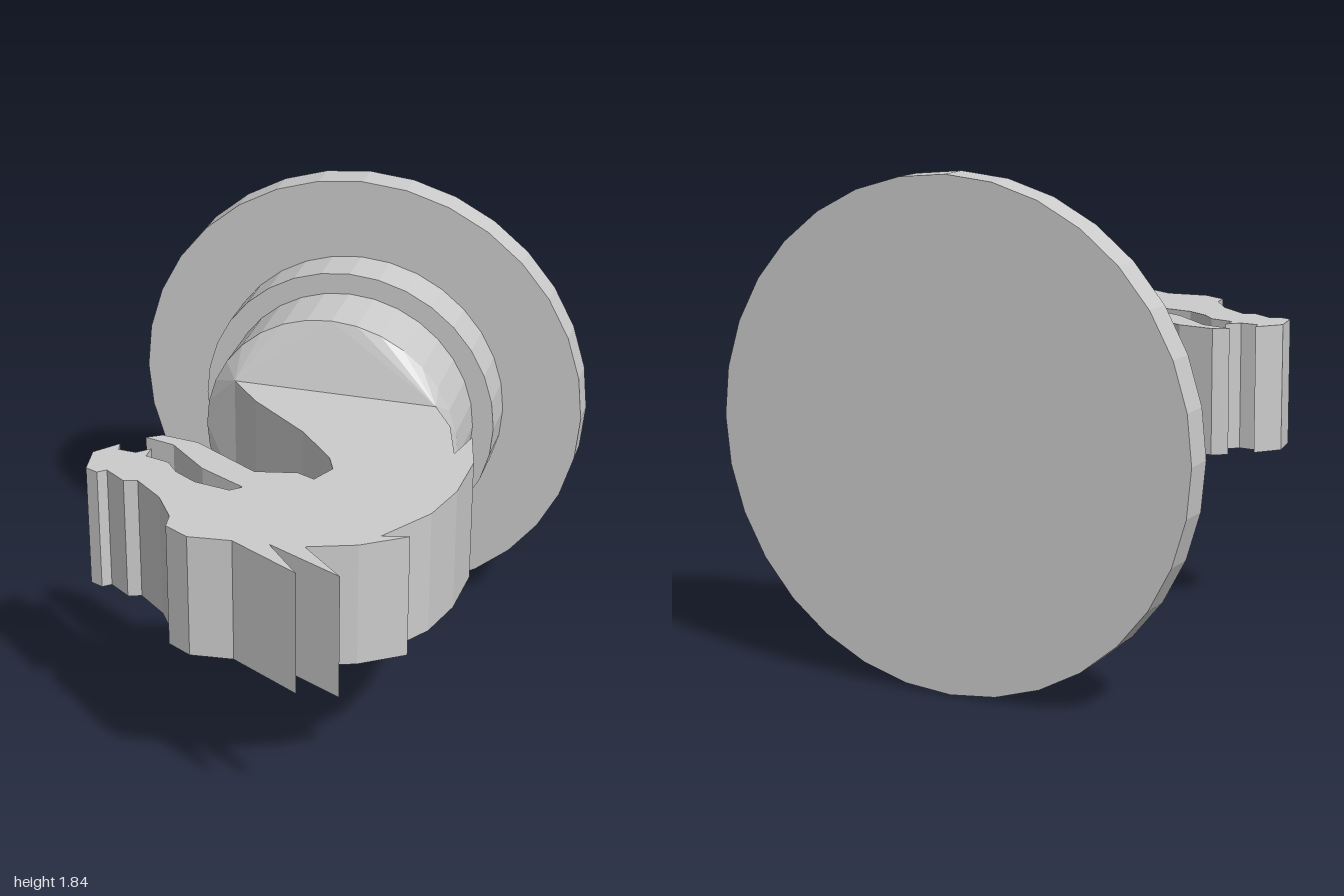
import * as THREE from 'three';
import { ConvexGeometry } from 'three/addons/geometries/ConvexGeometry.js';

const material = new THREE.MeshStandardMaterial({ color: 0xcccccc, flatShading: true });
const CENTRE_Y = 0.92, SIDES = 32;
const HOOK_BOTTOM = 0.677, HOOK_TOP = 1.165;

// Dragon outline seen from above, as [x, z]
const OUTLINE = [
  // inner curve of the neck
  [-0.37, -0.355], [-0.24, -0.21], [0.01, -0.01], [0.16, 0.16], [0.195, 0.24], [0.15, 0.335], [0.08, 0.305],
  // lower jaw
  [-0.075, 0.34], [-0.345, 0.18], [-0.49, 0.16], [-0.545, 0.195], [-0.425, 0.225], [-0.265, 0.37], [-0.08, 0.465],
  // upper jaw, teeth and snout
  [-0.12, 0.5], [-0.26, 0.475], [-0.35, 0.42], [-0.4, 0.36], [-0.495, 0.335], [-0.495, 0.275], [-0.54, 0.32],
  [-0.61, 0.315], [-0.62, 0.27], [-0.695, 0.36], [-0.675, 0.485], [-0.625, 0.505], [-0.595, 0.48],
  // brow and forehead
  [-0.51, 0.54], [-0.46, 0.525], [-0.345, 0.62], [-0.265, 0.74], [-0.255, 0.81], [-0.16, 0.862], [0, 0.845],
  // horns and spines down the back of the neck
  [0.275, 0.995], [0.13, 0.832], [0.425, 0.975], [0.255, 0.815], [0.43, 0.752], [0.587, 0.645], [0.488, 0.67],
  [0.62, 0.465], [0.67, 0.28], [0.68, 0.05], [0.63, -0.145], [0.595, 0], [0.53, -0.21], [0.44, -0.355],
];

function addMesh(group, name, geometry) {
  const mesh = new THREE.Mesh(geometry, material);
  mesh.name = name;
  group.add(mesh);
}

// Disc facing the front, between two depths
function disc(radius, back, front) {
  return new THREE.CylinderGeometry(radius, radius, front - back, SIDES)
    .rotateX(Math.PI / 2)
    .translate(0, CENTRE_Y, (front + back) / 2);
}

export function createModel() {
  const group = new THREE.Group();
  group.name = 'dragonHook';

  // Stepped round mount
  addMesh(group, 'backPlate', disc(0.92, -1, -0.88));
  addMesh(group, 'middleStep', disc(0.6, -0.88, -0.7));
  addMesh(group, 'frontStep', disc(0.515, -0.7, -0.435));

  // Transition from the round mount to the rectangular root of the neck
  const points = [];
  for (let i = 0; i < SIDES; i++) {
    const a = (i / SIDES) * Math.PI * 2;
    points.push(new THREE.Vector3(0.515 * Math.cos(a), CENTRE_Y + 0.515 * Math.sin(a), -0.435));
  }
  for (const x of [-0.37, 0.44])
    for (const y of [HOOK_BOTTOM, HOOK_TOP]) points.push(new THREE.Vector3(x, y, -0.355));
  addMesh(group, 'neckTransition', new ConvexGeometry(points));

  // Extruded neck and head
  const shape = new THREE.Shape(OUTLINE.map(([x, z]) => new THREE.Vector2(x, z)));
  const hook = new THREE.ExtrudeGeometry(shape, { depth: HOOK_TOP - HOOK_BOTTOM, bevelEnabled: false });
  hook.rotateX(Math.PI / 2).translate(0, HOOK_TOP, 0);
  addMesh(group, 'dragonNeckAndHead', hook);

  return group;
}
